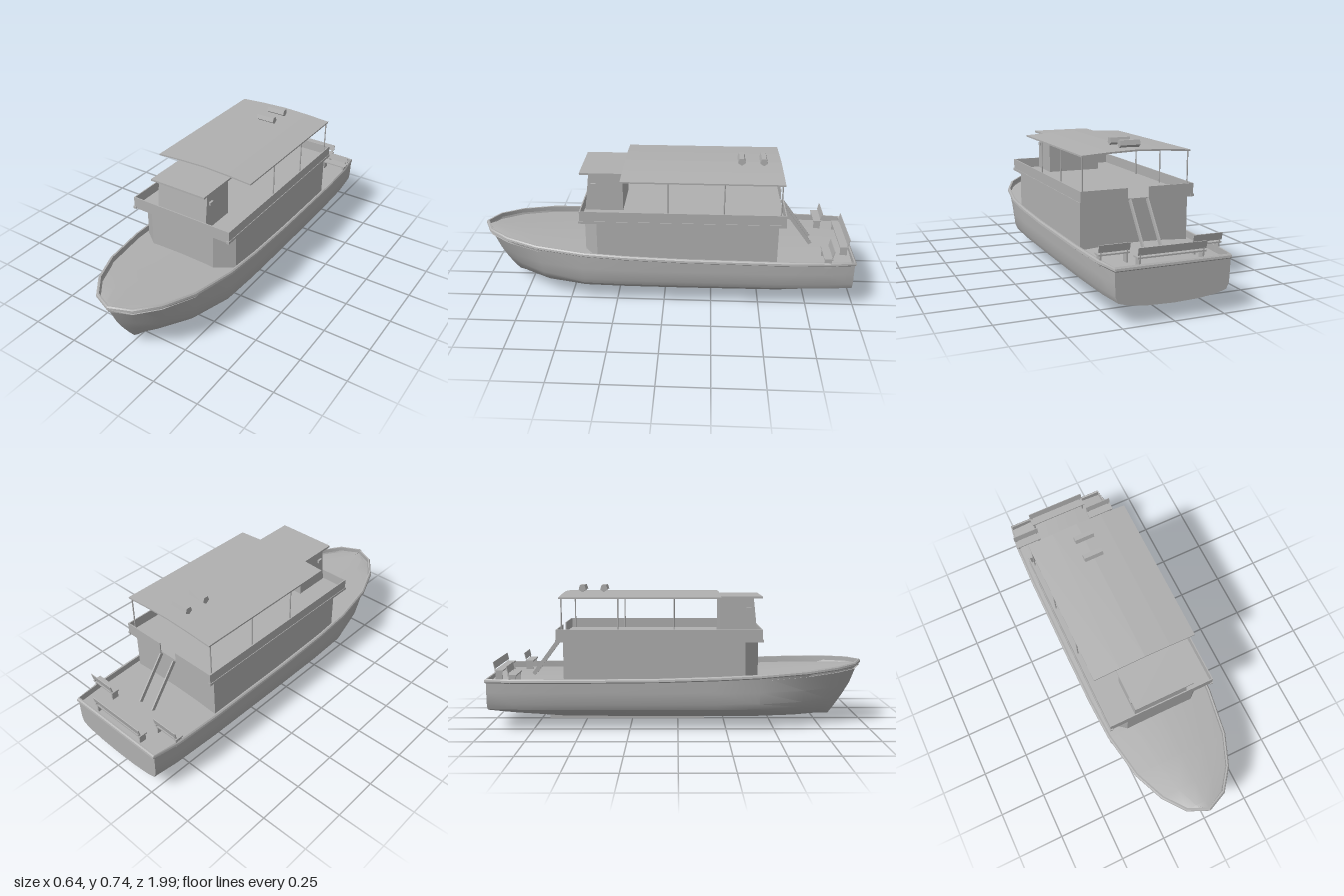
import * as THREE from 'three';
import { toCreasedNormals } from 'three/addons/utils/BufferGeometryUtils.js';

const grey = new THREE.MeshStandardMaterial({ color: 0xb0b0b0, side: THREE.DoubleSide });
grey.name = 'plain grey';

function add(parent, name, geometry, x = 0, y = 0, z = 0) {
  const mesh = new THREE.Mesh(geometry, grey);
  mesh.name = name;
  mesh.position.set(x, y, z);
  parent.add(mesh);
  return mesh;
}

// box given by its lower and upper limits
function block(parent, name, [x0, x1], [y0, y1], [z0, z1]) {
  return add(parent, name, new THREE.BoxGeometry(x1 - x0, y1 - y0, z1 - z0),
    (x0 + x1) / 2, (y0 + y1) / 2, (z0 + z1) / 2);
}

// skin over rows of [x, y, z] points
function loft(rows, crease, closed = false) {
  const n = rows[0].length, index = [];
  const last = closed ? rows.length : rows.length - 1;
  for (let i = 0; i < last; i++) {
    const k = (i + 1) % rows.length;
    for (let j = 0; j < n - 1; j++) {
      const a = i * n + j, d = k * n + j;
      index.push(a, a + 1, d + 1, a, d + 1, d);
    }
  }
  const g = new THREE.BufferGeometry();
  g.setAttribute('position', new THREE.Float32BufferAttribute(rows.flat(2), 3));
  g.setIndex(index);
  return toCreasedNormals(g, crease);
}

// prism from an xy outline, running from z0 to z1
function prism(points, z0, z1) {
  const shape = new THREE.Shape(points.map(p => new THREE.Vector2(...p)));
  return new THREE.ExtrudeGeometry(shape, { depth: z1 - z0, bevelEnabled: false }).translate(0, 0, z0);
}

// hull stations: sheer z, keel z, half width, sheer y, keel y, fullness
const stations = [
  [0.992, 0.83, 0, 0.325, 0.03, 0],
  [0.945, 0.825, 0.105, 0.321, 0.03, 0.1],
  [0.835, 0.75, 0.19, 0.314, 0.03, 0.5],
  [0.67, 0.62, 0.258, 0.303, 0.03, 0.85],
  [0.42, 0.42, 0.3, 0.289, 0.03, 1],
  [0.2, 0.2, 0.309, 0.28, 0.03, 1],
  [-0.1, -0.1, 0.31, 0.271, 0.03, 1],
  [-0.6, -0.6, 0.307, 0.266, 0.034, 1],
  [-0.85, -0.85, 0.298, 0.265, 0.06, 1],
  [-0.985, -0.985, 0.282, 0.265, 0.08, 1],
];
const levels = [0.03, 0.04, 0.07, 0.11, 0.14, 0.2, 1];
const fullWidth = [0, 0.42, 0.77, 0.94, 0.985, 0.995, 1];
const fineWidth = [0, 0.08, 0.2, 0.34, 0.44, 0.62, 1];

function hullRow([zs, zk, w, sy, ky, full]) {
  const half = levels.map((level, i) => {
    const y = i === 6 ? sy : level > 0.11 ? level : 0.11 - (0.11 - level) * (0.11 - ky) / 0.08;
    const drop = Math.pow(Math.max(0, 1 - (y - ky) / (sy - ky)), 1.4);
    const x = w * THREE.MathUtils.lerp(fineWidth[i], fullWidth[i], full);
    return [x, y, THREE.MathUtils.lerp(zs, zk, drop)];
  });
  return [...half.slice().reverse(), ...half.slice(1).map(([x, y, z]) => [-x, y, z])];
}

function buildHull(boat) {
  const rows = stations.map(hullRow);
  add(boat, 'hull', loft(rows, 0.45));
  const stern = rows[rows.length - 1];
  add(boat, 'transom', loft([stern, stern.map(([, y, z]) => [0, y, z])], 0.3));

  // slightly crowned deck, set below the sheer
  const deck = stations.map(([z, , w, sy]) => [-1, -0.5, 0, 0.5, 1].map(
    u => [u * w * 0.99, sy - 0.028 + 0.014 * (1 - u * u), z]));
  add(boat, 'deck', loft(deck, 0.4));

  // gunwale: small section carried around the whole sheer line
  const line = [
    ...stations.slice().reverse().map(s => [s[2], s[3], s[0]]),
    ...stations.slice(1).map(s => [-s[2], s[3], s[0]]),
  ];
  const section = [[0.001, -0.016], [0.009, -0.01], [0.007, 0], [0.001, 0.006], [-0.007, 0.005], [-0.007, -0.03]];
  const rail = line.map(([x, y, z], i) => {
    const p = line[(i + line.length - 1) % line.length], q = line[(i + 1) % line.length];
    const out = new THREE.Vector2(q[2] - p[2], p[0] - q[0]).normalize();
    return section.map(([o, h]) => [x + out.x * o, y + h, z + out.y * o]);
  });
  add(boat, 'gunwale', loft(rail, 0.5, true));
  block(boat, 'keel', [-0.007, 0.007], [0, 0.036], [-0.705, 0.145]);
}

function buildCabin(boat) {
  // lower house with cut front corners, outline drawn in plan
  const plan = [[-0.28, 0.585], [0.28, 0.585], [0.28, -0.345], [0.19, -0.418], [-0.19, -0.418], [-0.28, -0.345]];
  add(boat, 'lowerCabin', prism(plan, 0.235, 0.462).rotateX(-Math.PI / 2));

  // upper deck with bulwarks, open at the ladder
  block(boat, 'upperDeck', [-0.287, 0.287], [0.46, 0.474], [-0.615, 0.425]);
  block(boat, 'frontBulwark', [-0.293, 0.293], [0.462, 0.526], [0.424, 0.43]);
  for (const s of [-1, 1]) {
    const span = (a, b) => (s > 0 ? [a, b] : [-b, -a]);
    block(boat, 'sideBulwark', span(0.287, 0.293), [0.462, 0.526], [-0.62, 0.43]);
    block(boat, 'backBulwark', span(0.055, 0.293), [0.462, 0.526], [-0.62, -0.614]);
    block(boat, 'deckTrim', span(0.28, 0.296), [0.461, 0.474], [-0.622, 0.436]);
  }
}

function buildPilothouse(boat) {
  // side outline (z, y) with a raked front, turned across the boat
  const side = [[-0.42, 0.465], [-0.22, 0.465], [-0.22, 0.675], [-0.397, 0.675]];
  add(boat, 'pilothouse', prism(side, -0.147, 0.147).rotateY(Math.PI / 2));
  block(boat, 'pilothouseRoof', [-0.16, 0.16], [0.674, 0.684], [0.205, 0.443]);
  for (const s of [-1, 1]) {
    add(boat, 'sideLight', new THREE.BoxGeometry(0.014, 0.017, 0.026), s * 0.151, 0.616, 0.373);
  }
}

function buildCanopy(boat) {
  const top = [[0.28, 0.688], [0.14, 0.697], [0, 0.702], [-0.14, 0.697], [-0.28, 0.688]];
  const under = top.map(([x, y]) => [x, y - 0.008]).reverse();
  add(boat, 'canopy', prism([...top, ...under], -0.605, 0.22));
  for (const s of [-1, 1]) {
    for (const z of [-0.02, -0.305, -0.592]) {
      add(boat, 'canopyPost', new THREE.CylinderGeometry(0.0035, 0.0035, 0.212, 8), s * 0.273, 0.578, z);
    }
  }
  // canisters with a five-sided section lying across the roof
  for (const z of [-0.395, -0.51]) {
    const g = new THREE.CylinderGeometry(0.021, 0.021, 0.104, 5).toNonIndexed();
    g.computeVertexNormals();
    g.rotateY(-Math.PI / 2).rotateZ(Math.PI / 2);
    add(boat, 'roofCanister', g, 0, 0.72, z);
  }
}

function buildLadder(boat) {
  const from = new THREE.Vector3(0, 0.47, -0.622), to = new THREE.Vector3(0, 0.255, -0.782);
  const run = to.clone().sub(from), mid = from.clone().add(to).multiplyScalar(0.5);
  for (const s of [-1, 1]) {
    const rail = add(boat, 'ladderRail', new THREE.BoxGeometry(0.007, run.length(), 0.02), s * 0.045, mid.y, mid.z);
    rail.rotation.x = Math.atan2(run.z, run.y);
  }
}

function buildBench(boat, x, z, length) {
  const bench = new THREE.Group();
  bench.name = 'bench';
  bench.position.set(x, 0, z);
  block(bench, 'benchSeat', [-length / 2, length / 2], [0.289, 0.296], [-0.022, 0.022]);
  const back = add(bench, 'benchBack', new THREE.BoxGeometry(length, 0.036, 0.004), 0, 0.322, -0.023);
  back.rotation.x = -0.22;
  for (const s of [-1, 1]) {
    const e = s * (length / 2 - 0.012);
    block(bench, 'benchLeg', [e - 0.004, e + 0.004], [0.24, 0.29], [-0.018, 0.018]);
    block(bench, 'backBracket', [e - 0.003, e + 0.003], [0.29, 0.312], [-0.022, -0.018]);
  }
  boat.add(bench);
}

export function createModel() {
  const boat = new THREE.Group();
  boat.name = 'boat';
  buildHull(boat);
  buildCabin(boat);
  buildPilothouse(boat);
  buildCanopy(boat);
  buildLadder(boat);
  buildBench(boat, 0.232, -0.845, 0.15);
  buildBench(boat, -0.232, -0.845, 0.15);
  buildBench(boat, 0, -0.945, 0.334);
  return boat;
}
